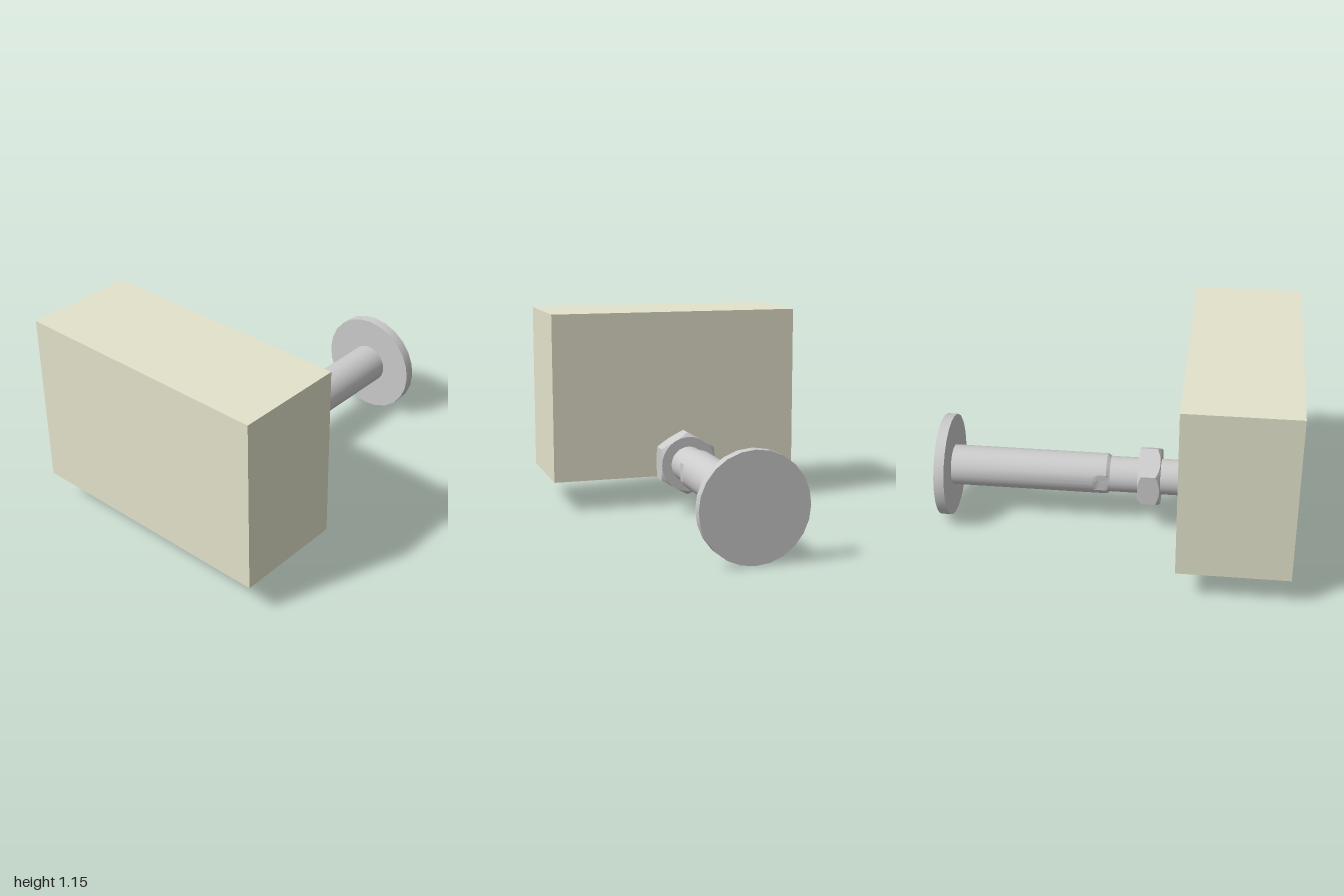
import * as THREE from 'three';
import { toCreasedNormals } from 'three/addons/utils/BufferGeometryUtils.js';

const AXIS_Y = 0.293;

// Solid turned around the x axis; profile is [x, radius] from -x to +x.
// An optional rule moves each vertex (in x-axis space, axis at y = 0).
function turned(profile, sides, rule) {
  const points = profile.map(([x, r]) => new THREE.Vector2(r, x));
  const geometry = new THREE.LatheGeometry(points, sides);
  geometry.rotateZ(-Math.PI / 2);
  if (rule) {
    const pos = geometry.attributes.position;
    const v = new THREE.Vector3();
    for (let i = 0; i < pos.count; i++) {
      rule(v.fromBufferAttribute(pos, i));
      pos.setXYZ(i, v.x, v.y, v.z);
    }
  }
  return toCreasedNormals(geometry, 0.35);
}

export function createModel() {
  const model = new THREE.Group();
  const metal = new THREE.MeshStandardMaterial({ color: 0xcccccc });
  const stone = new THREE.MeshStandardMaterial({ color: 0xe4e3cc });

  const add = (name, geometry, material, x, y) => {
    const mesh = new THREE.Mesh(geometry, material);
    mesh.name = name;
    mesh.position.set(x, y, 0);
    model.add(mesh);
  };

  // Block beside the bolt
  add('block', new THREE.BoxGeometry(0.61, 0.975, 1.47), stone, -0.695, 0.663);

  // Threaded end with a small chamfer
  add('stud', turned([[-0.38, 0], [-0.38, 0.088], [-0.365, 0.102], [0.06, 0.102], [0.06, 0]], 48),
    metal, 0, AXIS_Y);

  // Hex nut with conically chamfered corners
  const apothem = 0.158, half = 0.0625, corner = 0.183;
  const nutRule = (v) => {
    const r = Math.hypot(v.y, v.z);
    if (r < apothem + 0.01) return;
    const sector = Math.PI / 3;
    const a = Math.atan2(v.y, v.z);
    const off = a - Math.round(a / sector) * sector;
    const hexR = apothem / Math.cos(off);
    v.y *= hexR / r;
    v.z *= hexR / r;
    v.x = Math.sign(v.x) * (half - (hexR - apothem) * 0.9);
  };
  add('nut', turned([[-half, 0], [-half, apothem], [-half, corner], [half, corner], [half, apothem], [half, 0]],
    72, nutRule), metal, -0.195, AXIS_Y);

  // Sleeve with two wrench flats near its chamfered end
  const flatStart = 0.095, flatEnd = 0.125, flatZ = 0.1035, sleeveR = 0.115;
  const sleeveRule = (v) => {
    const t = THREE.MathUtils.clamp((v.x - flatStart) / (flatEnd - flatStart), 0, 1);
    const limit = THREE.MathUtils.lerp(flatZ, sleeveR, t);
    v.z = THREE.MathUtils.clamp(v.z, -limit, limit);
  };
  add('sleeve', turned([[0.03, 0], [0.03, 0.102], [0.05, sleeveR], [flatStart, sleeveR],
    [flatEnd, sleeveR], [0.95, sleeveR], [0.95, 0]], 56, sleeveRule), metal, 0, AXIS_Y);

  // Round end plate
  add('endPlate', turned([[0.942, 0], [0.942, AXIS_Y], [1, AXIS_Y], [1, 0]], 24), metal, 0, AXIS_Y);

  return model;
}
